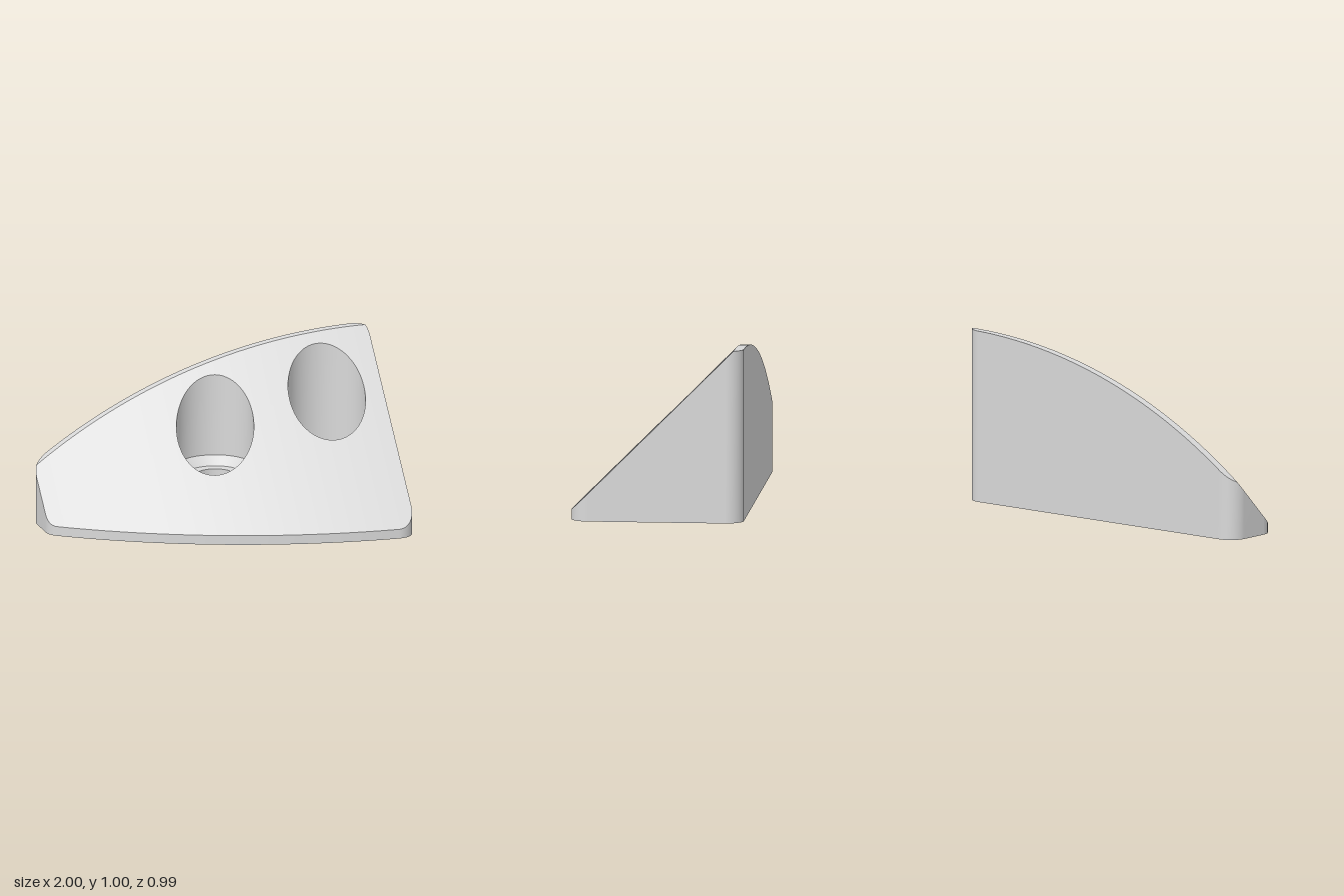
import * as THREE from 'three';
import { toCreasedNormals } from 'three/addons/utils/BufferGeometryUtils.js';

const WALL = 0.055, CEIL = 0.1;             // shell thickness, vertical roof thickness
const R = 3.32, CORNER = 0.1;               // big front arc, plan corner radius
const ARC_Z = 0.497 - R, BACK = -0.497;     // arc centre, back face
const HOLES = [0, 0.67], HZ = -0.17;        // screw hole centres
const BORE = 0.222, SEAT = 0.17, SCREW = 0.111, CUP = 0.277;
const CONE_Y = 0.32, SEAT_Y = 0.27, CUP_Y = 0.21, RIB_Y = 0.042;

// Front arc in plan, optionally inset
const arc = (x, t = 0) => ARC_Z + Math.sqrt((R - t) ** 2 - (1 - x) ** 2);
// Height of the sloped roof with its narrow top ledge
const roof = (x, z) => arc(x) + Math.min(0.5, 0.055 - z);
const ceiling = (x, z) => roof(x, z) - CEIL;
const bulge = (r, d) => Math.sqrt(Math.max(0, r * r - d * d));

// Back and front edges of the rounded plan, inset by t
function backEdge(x, t) {
  const d = Math.max(0, Math.abs(x) - (1 - CORNER));
  return BACK + CORNER - bulge(CORNER - t, d);
}
function frontEdge(x, t) {
  const c = 1 - CORNER, r = CORNER - t;
  if (x > c) return ARC_Z + bulge(R - CORNER, CORNER) + bulge(r, x - c);
  if (x < -c - r * 0.6) return ARC_Z + bulge(R - CORNER, 1 + c) + bulge(r, x + c);
  return arc(x, t);
}

// Column positions, crowded towards hole rims and end corners
function columns(t, hr) {
  const stops = [t - 1, -hr, hr, HOLES[1] - hr, HOLES[1] + hr, 1 - t];
  const counts = [36, 32, 8, 32, 14];
  const xs = [stops[0]];
  counts.forEach((n, s) => {
    for (let i = 1; i <= n; i++) {
      const f = (1 - Math.cos(Math.PI * i / n)) / 2;
      xs.push(stops[s] + (stops[s + 1] - stops[s]) * f);
    }
  });
  return xs;
}

// Surface between two rows of points
function strip(a, b) {
  const n = a.length, index = [];
  for (let i = 0; i < n - 1; i++) index.push(i, i + 1, n + i + 1, i, n + i + 1, n + i);
  const g = new THREE.BufferGeometry();
  g.setAttribute('position', new THREE.Float32BufferAttribute([...a, ...b].flat(), 3));
  g.setIndex(index);
  g.computeVertexNormals();
  return g;
}

// Roof bands: top ledge, slope behind the holes, slope in front of them
function roofBands(t, hr, height) {
  const rows = [[], [], [], [], []];
  for (const x of columns(t, hr)) {
    const zb = backEdge(x, t), zf = frontEdge(x, t);
    const d = Math.max(...HOLES.map(h => bulge(hr, x - h)));
    const zs = [zb, Math.max(zb, -0.445), Math.min(HZ - d, zf), Math.min(HZ + d, zf), zf];
    zs.forEach((z, k) => rows[k].push([x, height(x, z), z]));
  }
  return [[1, 0], [2, 1], [4, 3]].map(([f, b]) => [rows[f], rows[b]]);
}

// Closed plan outline as [x, z] pairs
function outline(t, hr) {
  const xs = columns(t, hr);
  const front = xs.map(x => [x, frontEdge(x, t)]);
  const back = xs.map(x => [x, backEdge(x, t)]).reverse();
  return [...front, ...back, front[0]];
}

function circle(cx, r) {
  const pts = [];
  for (let i = 0; i <= 64; i++) {
    const a = i / 64 * Math.PI * 2;
    pts.push([cx + r * Math.cos(a), HZ + r * Math.sin(a)]);
  }
  return pts;
}
const lift = (pts, y) => pts.map(([x, z]) => [x, typeof y === 'function' ? y(x, z) : y, z]);

// Rib reaching from just above the base up into the roof, kept out of the bores
function ribGeometry(x0, x1, z0, z1) {
  const alongX = x1 - x0 > z1 - z0;
  const n = Math.max(4, Math.ceil(Math.max(x1 - x0, z1 - z0) / 0.02));
  const g = new THREE.BoxGeometry(x1 - x0, 1, z1 - z0, alongX ? n : 1, 1, alongX ? 1 : n);
  g.translate((x0 + x1) / 2, 0, (z0 + z1) / 2);
  const p = g.attributes.position;
  for (let i = 0; i < p.count; i++) {
    const x = p.getX(i), z = p.getZ(i);
    let top = Math.max(RIB_Y + 0.005, ceiling(x, z) + 0.02);
    if (HOLES.some(h => Math.hypot(x - h, z - HZ) < 0.255)) top = Math.min(top, 0.24);
    p.setY(i, p.getY(i) > 0 ? top : RIB_Y);
  }
  return toCreasedNormals(g.toNonIndexed(), 0.5);
}

export function createModel() {
  const model = new THREE.Group();
  model.name = 'wedgeBracket';
  const grey = new THREE.MeshStandardMaterial({ color: 0xd9d9d9 });
  grey.name = 'light grey';
  const add = (name, geometry) => {
    const mesh = new THREE.Mesh(geometry, grey);
    mesh.name = name;
    model.add(mesh);
    return mesh;
  };

  // Outer shell
  const names = ['topLedge', 'slopeBehindHoles', 'slopeBeforeHoles'];
  roofBands(0, BORE, roof).forEach(([f, b], i) => add(names[i], strip(f, b)));
  const outer = outline(0, BORE);
  add('outerWall', strip(lift(outer, 0), lift(outer, roof)));

  // Hollow underside
  roofBands(WALL, 0.25, ceiling).slice(1).forEach(([f, b]) => add('ceiling', strip(b, f)));
  const inner = outline(WALL, 0.25);
  add('innerWall', strip(lift(inner, ceiling), lift(inner, 0)));
  add('bottomRim', strip(lift(inner, 0), lift(outer, 0)));

  // Screw holes with countersunk seats and bosses below, flush with the ribs
  const profile = [
    [BORE, CONE_Y], [SEAT, SEAT_Y], [SCREW, SEAT_Y], [SCREW, RIB_Y],
    [SEAT, RIB_Y], [SEAT, CUP_Y], [CUP, CUP_Y],
  ].map(([r, y]) => new THREE.Vector2(r, y));
  const half = WALL / 2;
  for (const x of HOLES) {
    const bore = circle(x, BORE), cup = circle(x, CUP);
    add('boreWall', strip(lift(bore, CONE_Y), lift(bore, roof)));
    add('boreCup', strip(lift(cup, (px, pz) => Math.max(CUP_Y, ceiling(px, pz) + 0.01)), lift(cup, CUP_Y)));
    const boss = add('screwBoss', toCreasedNormals(new THREE.LatheGeometry(profile, 64).toNonIndexed(), 0.5));
    boss.position.set(x, 0, HZ);
    add('backRib', ribGeometry(x - half, x + half, -0.46, HZ - 0.15));
    add('frontRib', ribGeometry(x - half, x + half, HZ + 0.15, frontEdge(x, WALL)));
  }

  // Lengthwise ribs
  for (const [a, b] of [[-0.93, -0.15], [0.15, 0.52], [0.82, 0.96]]) {
    add('lengthRib', ribGeometry(a, b, HZ - half, HZ + half));
  }
  return model;
}
